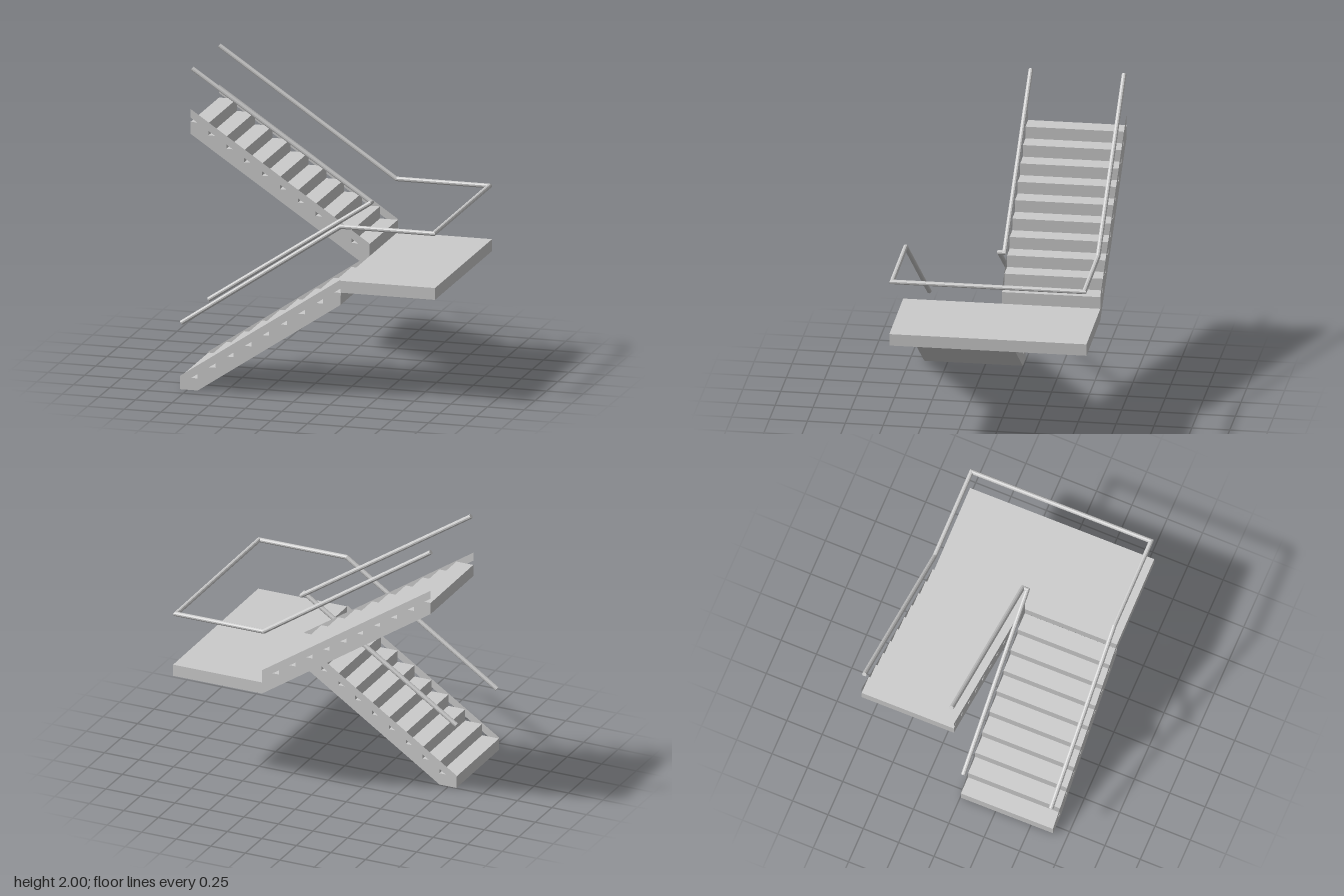
import * as THREE from 'three';

const RUN = 0.1218, RISE = 0.0815, SLOPE = RISE / RUN;
const START = -0.806, TURN = 0.29, END = -0.928; // x of the flight ends
const HALF = 0.65, LANDING = 0.815, SLAB = 0.08;

const material = new THREE.MeshStandardMaterial({ color: 0xcccccc, flatShading: true });
const thinMaterial = new THREE.MeshStandardMaterial({ color: 0xcccccc, side: THREE.DoubleSide });

const toShape = (points) => new THREE.Shape(points.map(([x, y]) => new THREE.Vector2(x, y)));

function add(parent, name, geometry, mat = material) {
  const mesh = new THREE.Mesh(geometry, mat);
  mesh.name = name;
  parent.add(mesh);
  return mesh;
}

// Sawtooth outline of a flight, climbing from (x, y) towards dir
function stepPoints(x, y, dir, count) {
  const points = [[x, y]];
  for (let i = 0; i < count; i++) {
    points.push([x + dir * i * RUN, y + (i + 1) * RISE], [x + dir * (i + 1) * RUN, y + (i + 1) * RISE]);
  }
  return points;
}

// Solid stair body plus a thin sloping skirt along each side
function makeFlight(name, outline, skirt, z0, z1) {
  const flight = new THREE.Group();
  flight.name = name;
  const body = add(flight, 'steps',
    new THREE.ExtrudeGeometry(toShape(outline), { depth: z1 - z0, bevelEnabled: false }));
  body.position.z = z0;
  for (const z of [z0, z1]) {
    add(flight, 'skirt', new THREE.ShapeGeometry(toShape(skirt)), thinMaterial).position.z = z;
  }
  return flight;
}

// Round bar along straight segments with mitred corners
function makeRail(points, radius = 0.0155, sides = 10) {
  const p = points.map((a) => new THREE.Vector3(...a));
  const dirs = p.slice(1).map((b, i) => b.clone().sub(p[i]).normalize());
  const u = new THREE.Vector3(0, 0, 1).cross(dirs[0]).normalize();
  const v = dirs[0].clone().cross(u);
  let ring = Array.from({ length: sides }, (_, k) => {
    const a = (k / sides) * Math.PI * 2;
    return p[0].clone().addScaledVector(u, radius * Math.cos(a)).addScaledVector(v, radius * Math.sin(a));
  });
  const rings = [ring];
  for (let i = 1; i < p.length; i++) {
    const d = dirs[i - 1];
    const normal = d.clone().add(dirs[i] || d).normalize();
    ring = ring.map((q) => q.clone().addScaledVector(d, p[i].clone().sub(q).dot(normal) / d.dot(normal)));
    rings.push(ring);
  }
  const verts = [];
  const tri = (...corners) => corners.forEach((c) => verts.push(c.x, c.y, c.z));
  const last = rings.length - 1;
  for (let k = 0; k < sides; k++) {
    const n = (k + 1) % sides;
    for (let i = 0; i < last; i++) {
      const [a, b, c, d] = [rings[i][k], rings[i][n], rings[i + 1][n], rings[i + 1][k]];
      tri(a, b, c);
      tri(a, c, d);
    }
    tri(p[0], rings[0][n], rings[0][k]);
    tri(p[last], rings[last][k], rings[last][n]);
  }
  const geometry = new THREE.BufferGeometry();
  geometry.setAttribute('position', new THREE.Float32BufferAttribute(verts, 3));
  geometry.computeVertexNormals();
  return geometry;
}

export function createModel() {
  const model = new THREE.Group();
  model.name = 'staircase';

  // Lower flight: nine treads on a slab whose foot is cut level with the floor
  const lowRise = (TURN - START) * SLOPE;
  model.add(makeFlight('lowerFlight',
    [...stepPoints(START, 0, 1, 9), [TURN, 0.653], [-0.685, 0]],
    [[START, 0.03], [TURN, 0.03 + lowRise], [TURN, 0.09 + lowRise], [START, 0.09]],
    0, HALF));

  // Upper flight: ten treads climbing back the other way
  const highRise = (TURN - END) * SLOPE;
  model.add(makeFlight('upperFlight',
    [...stepPoints(TURN, LANDING, -1, 10), [END, LANDING - SLAB + highRise], [TURN, LANDING - SLAB]],
    [[TURN, 0.845], [TURN, 0.903], [END, 0.903 + highRise], [END, 0.845 + highRise]],
    -HALF, 0));

  // Landing slab
  const landing = add(model, 'landing', new THREE.BoxGeometry(0.932 - TURN, SLAB, HALF * 2));
  landing.position.set((0.932 + TURN) / 2, LANDING - SLAB / 2, 0);

  // Handrails: one around the outside, one doubling back in the middle
  const railY = 1.177, low = 0.445, high = 1.987, side = 0.634;
  add(model, 'outerHandrail', makeRail([
    [-0.8, low, side], [0.285, railY, side], [0.918, railY, side],
    [0.918, railY, -side], [0.285, railY, -side], [-0.922, high, -side],
  ]));
  add(model, 'innerHandrail', makeRail([
    [-0.8, low, 0.015], [0.298, railY, 0.015], [0.298, railY, -0.019], [-0.922, high, -0.019],
  ]));

  // The whole stair stands very slightly turned
  model.rotation.y = 0.006;
  return model;
}
